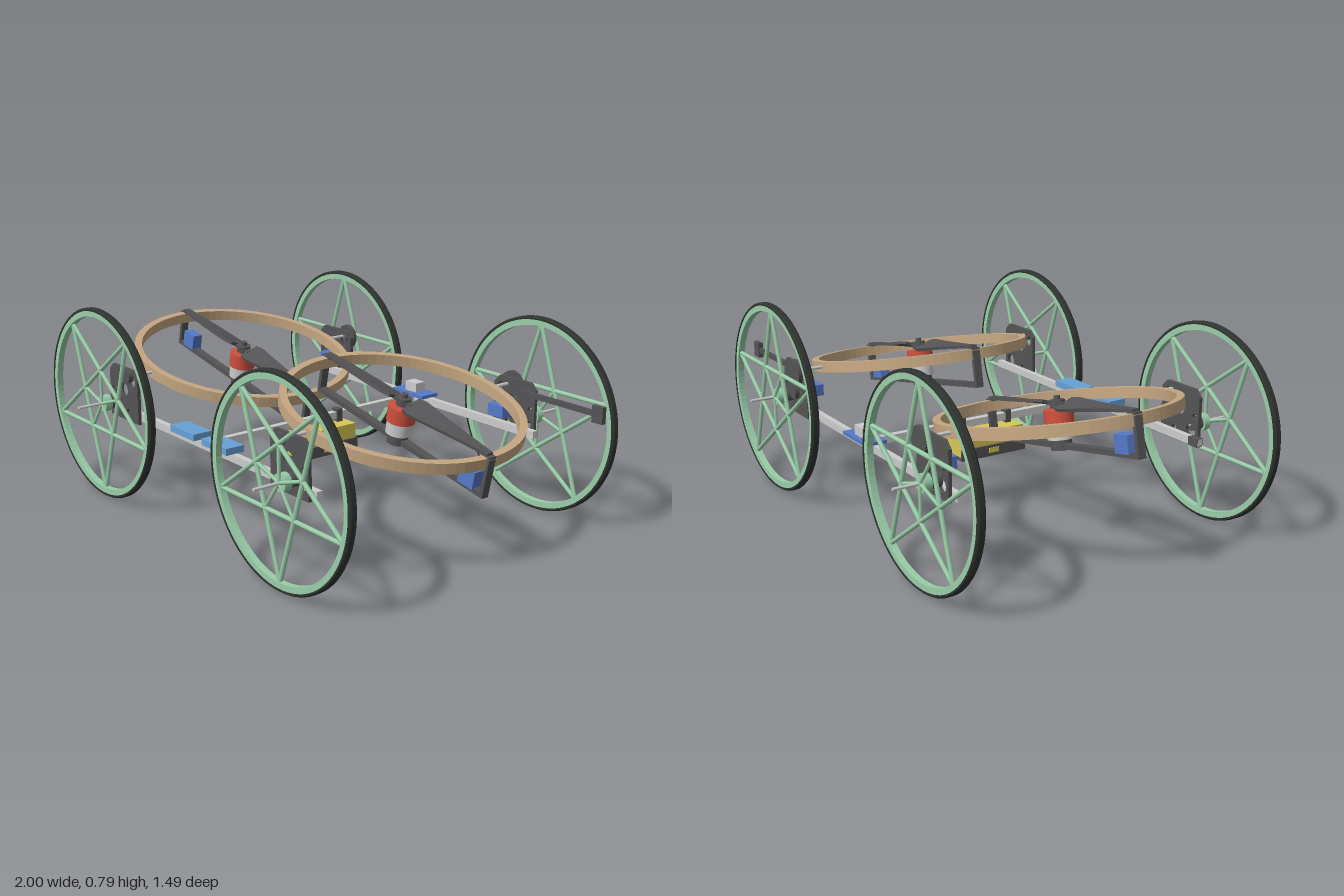
import * as THREE from 'three';

const mat = (name, color) => {
  const m = new THREE.MeshStandardMaterial({ color });
  m.name = name;
  return m;
};

export function createModel() {
  const green = mat('wheel green', 0x9acda9), black = mat('tyre black', 0x2f3430);
  const tan = mat('ring tan', 0xc6a882), dark = mat('dark grey', 0x545456);
  const grey = mat('light grey', 0xcccccc), yellow = mat('yellow', 0xd8c854);
  const blue = mat('servo blue', 0x567aca), sky = mat('sky blue', 0x66a2d6);
  const red = mat('motor red', 0xd0503e);
  const model = new THREE.Group();
  model.name = 'tiltRotorRover';

  const add = (parent, name, geo, material, x = 0, y = 0, z = 0) => {
    const m = new THREE.Mesh(geo, material);
    m.name = name;
    m.position.set(x, y, z);
    parent.add(m);
    return m;
  };
  const box = (parent, name, material, sx, sy, sz, x, y, z) =>
    add(parent, name, new THREE.BoxGeometry(sx, sy, sz), material, x, y, z);
  // cylinder lying along z
  const rod = (parent, name, material, r, len, x, y, z, sides = 20) =>
    add(parent, name, new THREE.CylinderGeometry(r, r, len, sides).rotateX(Math.PI / 2), material, x, y, z);
  // straight bar between two points of the xy plane
  const strut = (parent, name, material, r, a, b) => {
    const d = b.clone().sub(a);
    const m = add(parent, name, new THREE.CylinderGeometry(r, r, d.length(), 8), material);
    m.position.set((a.x + b.x) / 2, (a.y + b.y) / 2, 0);
    m.rotation.z = Math.atan2(d.y, d.x) - Math.PI / 2;
  };
  // hoop around y from an [r, y] section, with crisp edges
  const hoop = (section, seg = 80) => {
    const g = new THREE.LatheGeometry(section.map(([r, y]) => new THREE.Vector2(r, y)), seg).toNonIndexed();
    g.computeVertexNormals();
    return g;
  };
  const squareHoop = (ri, ro, h) =>
    hoop([[ri, -h / 2], [ro, -h / 2], [ro, h / 2], [ri, h / 2], [ri, -h / 2]]);

  // Wheels: rim, rounded tyre and star spokes
  const rimGeo = squareHoop(0.358, 0.384, 0.026).rotateX(Math.PI / 2);
  const tyreGeo = hoop([[0.381, -0.016], [0.388, -0.016], [0.393, -0.009], [0.393, 0.009],
    [0.388, 0.016], [0.381, 0.016], [0.381, -0.016]]).rotateX(Math.PI / 2);
  const polar = (r, a) => new THREE.Vector2(r * Math.cos(a), r * Math.sin(a));
  const wheel = (x, s) => {
    const g = new THREE.Group();
    g.name = 'wheel';
    g.position.set(x, 0.398, 0.639 * s);
    add(g, 'rim', rimGeo, green);
    add(g, 'tyre', tyreGeo, black);
    for (let i = 0; i < 5; i++) {
      const a = -s * Math.PI / 2 + i * Math.PI * 0.4;
      strut(g, 'starSpoke', green, 0.009, polar(0.365, a), polar(0.365, a + Math.PI * 0.8));
      strut(g, 'hubSpoke', green, 0.007, polar(0, a + Math.PI), polar(0.14, a + Math.PI));
    }
    rod(g, 'hub', green, 0.034, 0.03, 0, 0, -0.016 * s);
    rod(g, 'bearing', dark, 0.026, 0.045, 0, 0, -0.053 * s);
    rod(g, 'axle', grey, 0.006, 0.19, 0, 0, 0.012 * s, 10);
    model.add(g);
  };

  // Mounting plate with lightening holes
  const plate = new THREE.Shape();
  plate.moveTo(-0.108, -0.112).lineTo(0.108, -0.112).lineTo(0.108, 0.08).lineTo(0.08, 0.108)
    .lineTo(-0.08, 0.108).lineTo(-0.108, 0.08).closePath();
  for (const [hx, hy, r] of [[-0.065, 0.06, 0.026], [-0.005, 0.015, 0.028], [0.065, -0.06, 0.026], [-0.03, -0.075, 0.014], [0.085, 0.0, 0.012]]) {
    plate.holes.push(new THREE.Path().absarc(hx, hy, r, 0, Math.PI * 2, true));
  }
  const plateGeo = new THREE.ExtrudeGeometry(plate, { depth: 0.014, bevelEnabled: false, curveSegments: 16 })
    .translate(0, 0, -0.007);

  for (const side of [-1, 1]) {
    for (const s of [-1, 1]) {
      wheel(side < 0 ? -0.608 : 0.594, s);
      const p = add(model, 'wheelPlate', plateGeo, dark, side < 0 ? -0.56 : 0.55, 0.44, 0.556 * s);
      if (side < 0) p.rotation.y = Math.PI;
      rod(model, 'tiltPin', grey, 0.007, 0.13, 0.51 * side, 0.52, 0.505 * s, 10);
      rod(model, 'pinCollar', dark, 0.024, 0.022, 0.51 * side, 0.52, 0.568 * s);
    }
    // Tilt drive on the rear plates
    box(model, 'tiltServo', blue, 0.08, 0.046, 0.08, 0.528 * side, 0.428, -0.507);
    rod(model, 'pinionGear', dark, 0.032, 0.018, 0.53 * side, 0.43, -0.579, 14);
    rod(model, 'tiltGear', dark, 0.053, 0.018, 0.51 * side, 0.515, -0.579, 18);
  }

  // Frame
  box(model, 'spine', grey, 0.026, 0.03, 1.08, -0.01, 0.353, 0);
  for (const z of [0.531, -0.535]) box(model, 'crossbar', grey, 1.38, 0.03, 0.024, -0.01, 0.353, z);
  box(model, 'barEndBlock', dark, 0.05, 0.034, 0.028, -0.675, 0.353, 0.531);
  box(model, 'sensorArm', dark, 0.4, 0.022, 0.012, 0.78, 0.505, -0.543);
  box(model, 'sensorHead', dark, 0.05, 0.065, 0.02, 0.975, 0.505, -0.543);

  // Electronics on the crossbars
  for (const x of [-0.117, 0.1]) box(model, 'speedController', sky, 0.163, 0.026, 0.08, x, 0.382, 0.531);
  box(model, 'controlBoard', blue, 0.185, 0.014, 0.09, -0.005, 0.374, -0.535);
  box(model, 'receiver', grey, 0.066, 0.04, 0.05, -0.005, 0.4, -0.535);

  // Battery pack hung under the spine
  box(model, 'battery', yellow, 0.14, 0.095, 0.29, -0.006, 0.28, 0);
  box(model, 'trayFloor', dark, 0.155, 0.012, 0.3, -0.006, 0.228, 0);
  for (const s of [-1, 1]) {
    box(model, 'traySide', dark, 0.008, 0.045, 0.3, -0.006 + 0.074 * s, 0.245, 0);
    box(model, 'trayLabel', yellow, 0.005, 0.02, 0.045, -0.006 + 0.0785 * s, 0.247, 0);
    box(model, 'spineClamp', dark, 0.036, 0.055, 0.026, -0.008, 0.353, 0.108 * s);
  }
  box(model, 'cameraMount', dark, 0.1, 0.01, 0.18, -0.006, 0.218, 0);
  box(model, 'sensorBoard', blue, 0.06, 0.008, 0.07, -0.006, 0.21, -0.058);

  // Tapered and twisted propeller blade along +x
  const blade = new THREE.BoxGeometry(0.415, 0.012, 1, 12, 1, 1).translate(0.2455, 0, 0);
  const pos = blade.attributes.position;
  for (let i = 0; i < pos.count; i++) {
    const x = pos.getX(i), t = x / 0.453;
    const chord = t < 0.15 ? 0.085 : 0.104 - 0.076 * (t - 0.12) / 0.88;
    const twist = 0.36 * (1 - t), y = pos.getY(i), z = pos.getZ(i) * chord;
    pos.setXYZ(i, x, y * Math.cos(twist) - z * Math.sin(twist), y * Math.sin(twist) + z * Math.cos(twist));
  }
  blade.computeVertexNormals();

  // Tilted rotor units
  const ringGeo = squareHoop(0.432, 0.461, 0.043);
  const drum = (g, name, m, r, y0, y1) =>
    add(g, name, new THREE.CylinderGeometry(r, r, y1 - y0, 28), m, 0, (y0 + y1) / 2, 0);
  for (const side of [-1, 1]) {
    const g = new THREE.Group();
    g.name = 'rotorUnit';
    g.position.set(side < 0 ? -0.515 : 0.503, 0.52, 0);
    g.rotation.z = -0.2;
    add(g, 'guardRing', ringGeo, tan);
    box(g, 'motorArm', dark, 0.93, 0.02, 0.032, 0, -0.125, 0);
    for (const s of [-1, 1]) {
      box(g, 'armUpright', dark, 0.016, 0.15, 0.032, 0.461 * s, -0.06, 0);
      box(g, 'armHook', dark, 0.045, 0.008, 0.032, 0.446 * s, 0.0225, 0);
    }
    drum(g, 'motorMount', dark, 0.04, -0.14, -0.1);
    drum(g, 'motorBase', grey, 0.05, -0.1, -0.05);
    drum(g, 'motorBell', red, 0.055, -0.05, 0.01);
    drum(g, 'propShaft', dark, 0.012, 0.01, 0.06);
    drum(g, 'propHub', dark, 0.028, 0.015, 0.045);
    box(g, 'propRoot', dark, 0.1, 0.012, 0.03, 0, 0.03, 0);
    for (const r of [0, Math.PI]) add(g, 'propBlade', blade, dark, 0, 0.03, 0).rotation.y = r;
    box(g, 'armServo', blue, 0.075, 0.068, 0.045, 0.385 * side, -0.088, 0);
    model.add(g);
  }
  return model;
}
